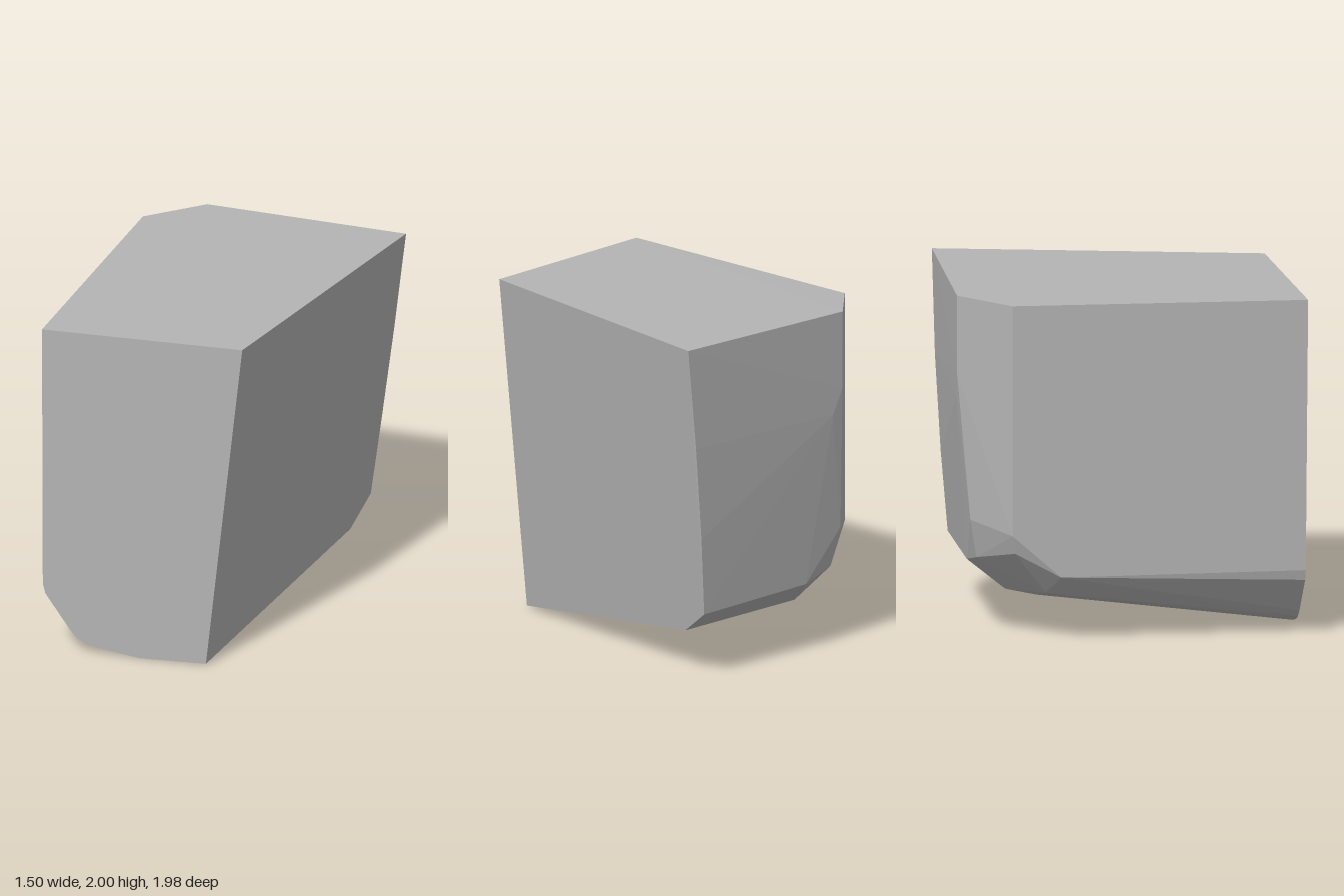
import * as THREE from 'three';
import { ConvexGeometry } from 'three/addons/geometries/ConvexGeometry.js';

// depth of the slightly skewed front plane at a given x, y
const frontZ = (x, y) => 0.9 - 0.076 * (x - 0.43) - 0.0085 * (1.98 - y);

export function createModel() {
  const group = new THREE.Group();
  const grey = new THREE.MeshStandardMaterial({ color: 0xb4b4b4 });
  grey.name = 'stone grey';

  // outline of the front face, rounded at the lower corner
  const front = [
    [-0.75, 1.98], [0.43, 1.985], [0.21, 0.01], [-0.18, 0], [-0.42, 0.035],
    [-0.5, 0.06], [-0.55, 0.085], [-0.59, 0.13], [-0.735, 0.34], [-0.75, 0.4],
  ].map(([x, y]) => [x, y, frontZ(x, y)]);

  // top rim at the back, with its cut corner
  const rim = [[0.75, 2, -0.97], [-0.46, 2, -0.99], [-0.75, 1.995, -0.71]];

  // gently bulging back wall
  const back = [
    [0.68, 1.4, -0.962], [0.614, 0.85, -0.938], [0.56, 0.39, -0.905],
    [-0.25, 0.41, -0.905], [-0.39, 1.4, -0.985], [-0.46, 1.55, -0.99],
  ];

  // chamfered underside and worn lower back corner
  const underside = [
    [0.51, 0.245, -0.7], [-0.36, 0.255, -0.7], [-0.49, 0.245, -0.54],
    [-0.6, 0.28, -0.5], [-0.75, 0.4, -0.43], [-0.72, 0.54, -0.69],
    [-0.75, 0.65, -0.71], [-0.47, 0.47, -0.88], [-0.51, 0.7, -0.92],
  ];

  const points = [...front, ...rim, ...back, ...underside]
    .map((p) => new THREE.Vector3(...p));
  const block = new THREE.Mesh(new ConvexGeometry(points), grey);
  block.name = 'stoneBlock';
  group.add(block);
  return group;
}
